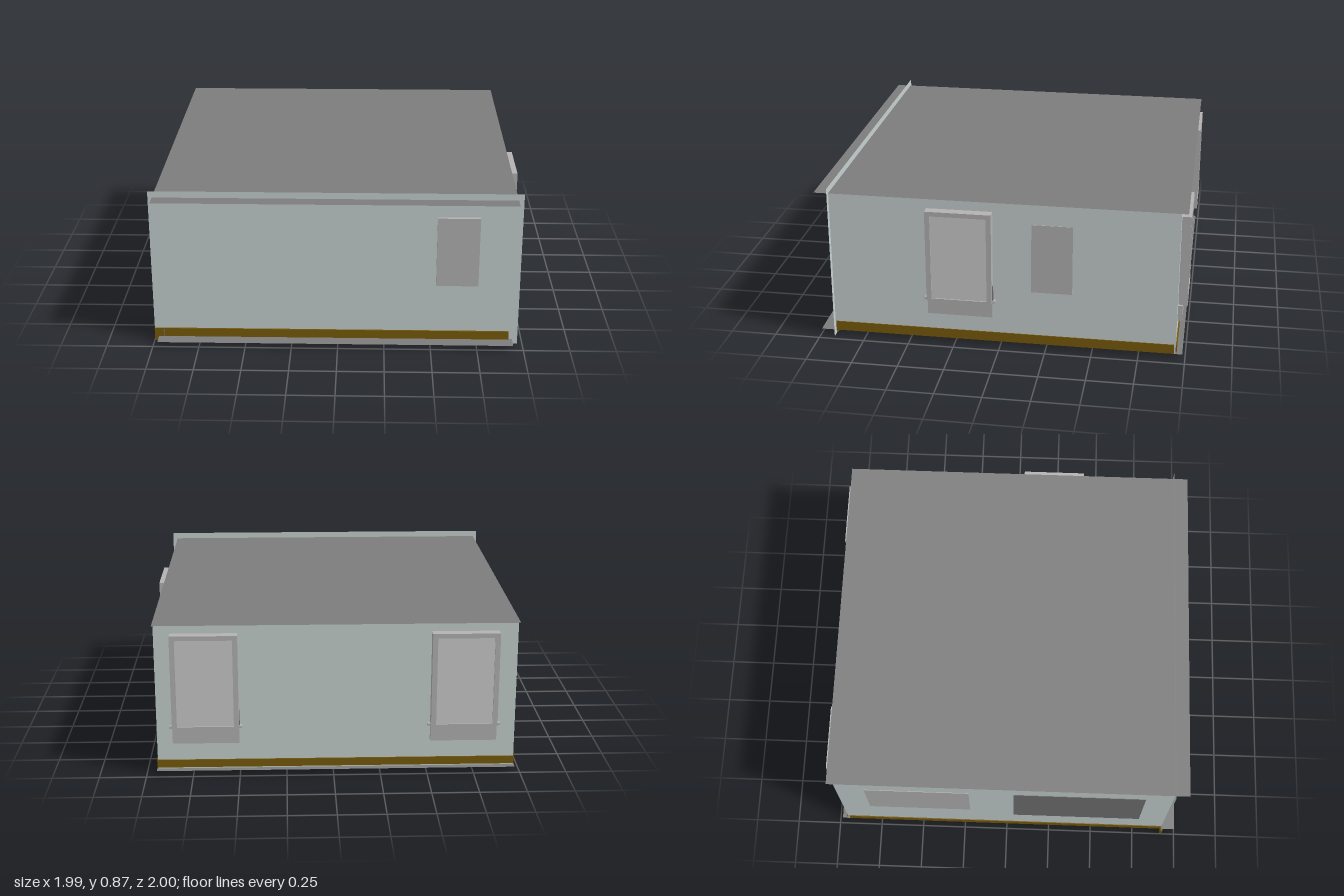
import * as THREE from 'three';

const mat = (color) => new THREE.MeshStandardMaterial({ color, side: THREE.DoubleSide });
const wallMat = mat(0xc6d1cf), slabMat = mat(0x7c7c7c), boardMat = mat(0x775a08);
const frameMat = mat(0xb4b2b2), paneMat = mat(0xd0d0d0), panelMat = mat(0xb4b2b2), darkMat = mat(0x707070);

// Box given by its extents on each axis
function box(name, material, [x0, x1], [y0, y1], [z0, z1]) {
  const m = new THREE.Mesh(new THREE.BoxGeometry(x1 - x0, y1 - y0, z1 - z0), material);
  m.position.set((x0 + x1) / 2, (y0 + y1) / 2, (z0 + z1) / 2);
  m.name = name;
  return m;
}

// Thin sheet facing the given heading (0 = front), spanning a..b sideways
function sheet(name, w, h, pos, rotX, rotY) {
  const m = new THREE.Mesh(new THREE.PlaneGeometry(w, h), wallMat);
  m.position.set(...pos);
  m.rotation.set(rotX, rotY, 0);
  m.name = name;
  return m;
}

// Projecting window: frame, recessed pane, sill and apron, built facing +z
function makeWindow(name) {
  const g = new THREE.Group();
  g.name = name;
  const rect = (P, x, y0, y1) => {
    const p = new P();
    p.moveTo(-x, y0); p.lineTo(x, y0); p.lineTo(x, y1); p.lineTo(-x, y1); p.closePath();
    return p;
  };
  const shape = rect(THREE.Shape, 0.177, 0.27, 0.785);
  shape.holes.push(rect(THREE.Path, 0.15, 0.282, 0.76));
  const frame = new THREE.Mesh(new THREE.ExtrudeGeometry(shape, { depth: 0.05, bevelEnabled: false }), frameMat);
  frame.name = 'windowFrame';
  g.add(
    frame,
    box('windowPane', paneMat, [-0.15, 0.15], [0.282, 0.76], [0, 0.043]),
    box('windowSill', frameMat, [-0.193, 0.193], [0.264, 0.277], [0, 0.026]),
    box('windowApron', frameMat, [-0.177, 0.177], [0.18, 0.265], [0, 0.025]),
    box('windowCatch', darkMat, [0.174, 0.18], [0.28, 0.365], [0.01, 0.03]),
  );
  return g;
}

export function createModel() {
  const model = new THREE.Group();
  const L = -0.97, R = 0.94, F = 0.92, B = -0.949;
  const floorY = 0.027, roofY = 0.838, midY = (floorY + roofY) / 2, h = roofY - floorY;

  // Walls: the front one overshoots the others on every edge
  model.add(
    sheet('frontWall', 1.97, 0.873, [-0.012, 0.4365, F], 0, 0),
    sheet('backWall', R - L, h, [(L + R) / 2, midY, B], 0, Math.PI),
    sheet('rightWall', F - B, h, [R, midY, (F + B) / 2], 0, Math.PI / 2),
    sheet('leftWall', F - B, h, [L, midY, (F + B) / 2], 0, -Math.PI / 2),
  );

  // Roof and floor sheets with a small overhang
  const roof = sheet('roof', 1.92, 1.985, [-0.015, roofY, 0.0075], -Math.PI / 2, 0);
  const floor = sheet('floor', 1.92, 1.985, [-0.015, floorY, 0.0075], Math.PI / 2, 0);
  roof.material = floor.material = slabMat;
  model.add(roof, floor);

  // Baseboards
  model.add(
    box('frontBaseboard', boardMat, [-0.997, 0.925], [0.002, 0.075], [0.914, 0.928]),
    box('backBaseboard', boardMat, [L, R], [0.035, 0.078], [B - 0.006, B + 0.006]),
    box('rightBaseboard', boardMat, [R - 0.006, R + 0.005], [floorY, 0.08], [-0.94, 0.915]),
    box('leftBaseboard', boardMat, [L - 0.005, L + 0.006], [floorY, 0.08], [-0.94, 0.915]),
    box('baseboardJoint', darkMat, [-0.948, -0.942], [0.025, 0.07], [0.926, 0.93]),
  );

  // Flat panels and doors
  model.add(
    box('frontPanel', panelMat, [0.525, 0.75], [0.35, 0.74], [F, 0.938]),
    box('rightPanel', panelMat, [R, R + 0.003], [0.335, 0.725], [-0.39, -0.17]),
    box('leftRearPanel', panelMat, [L - 0.003, L], [0.345, 0.722], [-0.79, -0.21]),
    box('leftFrontPanel', darkMat, [L - 0.003, L], [0.255, 0.722], [0.04, 0.77]),
  );

  // Windows: one on the right wall, two at the back
  const side = makeWindow('rightWindow');
  side.position.set(R, 0, 0.214);
  side.rotation.y = Math.PI / 2;
  model.add(side);
  for (const x of [-0.693, 0.678]) {
    const w = makeWindow('backWindow');
    w.position.set(x, 0, B);
    w.rotation.y = Math.PI;
    model.add(w);
  }

  // Studs under the floor
  const stud = new THREE.CylinderGeometry(0.016, 0.016, 0.006, 12);
  const spots = [
    [0.70, -0.23], [0.85, -0.05], [0.84, 0.35], [0.75, 0.12], [0.78, 0.57], [0.61, 0.31],
    [0.58, 0.53], [0.33, 0.57], [0.16, 0.54], [0.34, 0.79], [0.12, 0.77], [0.36, -0.23],
    [0.29, -0.04], [0.08, -0.10], [0.15, -0.32], [0.51, -0.18],
  ];
  for (const [x, z] of spots) {
    const m = new THREE.Mesh(stud, darkMat);
    m.position.set(x, floorY - 0.003, z);
    m.name = 'floorStud';
    model.add(m);
  }
  return model;
}
